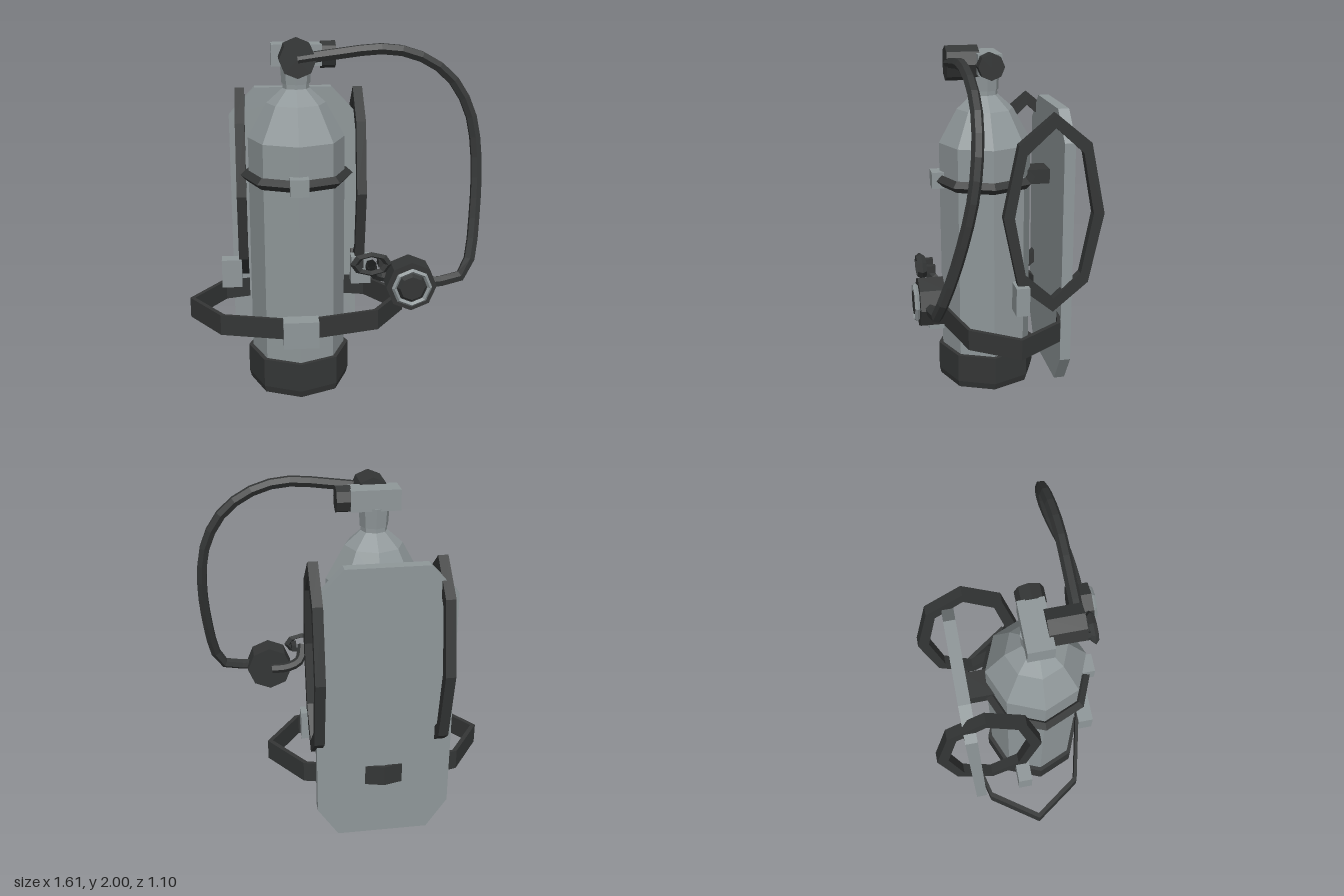
import * as THREE from 'three';

const grey = new THREE.MeshStandardMaterial({ color: 0x8f9799, flatShading: true });
const dark = new THREE.MeshStandardMaterial({ color: 0x343636, flatShading: true });
const hoseDark = new THREE.MeshStandardMaterial({ color: 0x343636, flatShading: true, side: THREE.DoubleSide });
const TX = -0.177, TZ = 0.05; // tank axis

export function createModel() {
  const model = new THREE.Group();

  const add = (name, geo, mat, x = 0, y = 0, z = 0) => {
    const m = new THREE.Mesh(geo, mat);
    m.name = name;
    m.position.set(x, y, z);
    model.add(m);
  };
  const box = (name, mat, w, h, d, x, y, z) => add(name, new THREE.BoxGeometry(w, h, d), mat, x, y, z);
  const cyl = (rTop, rBottom, h) => new THREE.CylinderGeometry(rTop, rBottom, h, 8);
  const vec2 = (pts) => pts.map((p) => new THREE.Vector2(...p));
  const tube = (name, pts, r, segments) => {
    const path = new THREE.CatmullRomCurve3(pts.map((p) => new THREE.Vector3(...p)));
    add(name, new THREE.TubeGeometry(path, segments, r, 6), hoseDark);
  };
  // octagonal loop of rectangular section, centred on the extrusion axis
  const octPoints = (a, b) => Array.from({ length: 8 }, (_, i) =>
    new THREE.Vector2(a * Math.cos(i * Math.PI / 4), b * Math.sin(i * Math.PI / 4)));
  const octLoop = (a, b, innerA, innerB, depth) => {
    const s = new THREE.Shape(octPoints(a, b));
    s.holes.push(new THREE.Path(octPoints(innerA, innerB)));
    return new THREE.ExtrudeGeometry(s, { depth, bevelEnabled: false }).translate(0, 0, -depth / 2);
  };

  // Tank with shoulder and neck
  const profile = vec2([[0, 0.05], [0.267, 0.05], [0.267, 1.455], [0.162, 1.645], [0.073, 1.725], [0.07, 1.8]]);
  add('tank', new THREE.LatheGeometry(profile, 8), grey, TX, 0, TZ);
  const bootProfile = vec2([[0, 0], [0.282, 0], [0.292, 0.04], [0.292, 0.208], [0.26, 0.208]]);
  add('tankBoot', new THREE.LatheGeometry(bootProfile, 8), dark, TX, 0, TZ);

  // Valve and first stage regulator
  add('valveCollar', cyl(0.085, 0.078, 0.11), grey, TX, 1.805, TZ);
  box('valveBody', grey, 0.27, 0.115, 0.135, -0.175, 1.905, 0.043);
  add('valveKnob', cyl(0.073, 0.073, 0.08).rotateZ(Math.PI / 2), dark, -0.005, 1.903, TZ);
  add('firstStage', cyl(0.097, 0.097, 0.182).rotateX(Math.PI / 2), dark, TX, 1.903, 0.183);

  // Tank band, its clasp and the mount to the backplate
  add('tankBand', new THREE.TorusGeometry(0.28, 0.033, 4, 8).rotateX(Math.PI / 2), dark, TX, 1.243, TZ);
  box('bandClasp', grey, 0.1, 0.095, 0.07, TX, 1.245, 0.333);
  box('tankMount', dark, 0.15, 0.085, 0.16, TX, 1.243, -0.25);

  // Backplate with cut corners
  const plate = new THREE.Shape(vec2([
    [-0.26, 0.028], [0.26, 0.028], [0.378, 0.205], [0.378, 1.505],
    [0.225, 1.667], [-0.225, 1.667], [-0.378, 1.505], [-0.378, 0.205],
  ]));
  add('backplate', new THREE.ExtrudeGeometry(plate, { depth: 0.063, bevelEnabled: false }), grey, TX, 0, -0.382);

  // Shoulder straps with adjusters
  for (const [name, strapX, clipX] of [['right', -0.488, -0.558], ['left', 0.195, 0.202]]) {
    add(name + 'ShoulderStrap', octLoop(0.287, 0.573, 0.225, 0.495, 0.055).rotateY(Math.PI / 2),
      dark, strapX, 1.103, -0.265);
    box(name + 'StrapAdjuster', grey, 0.116, 0.168, 0.078, clipX, 0.617, -0.083);
  }

  // Waist belt and buckle
  add('waistBelt', octLoop(0.63, 0.375, 0.6, 0.355, 0.12).rotateX(Math.PI / 2), dark, TX, 0.42, -0.033);
  box('beltBuckle', grey, 0.195, 0.155, 0.09, TX, 0.42, 0.365);

  // Hose from the first to the second stage
  tube('hose', [
    [-0.177, 1.903, 0.253], [0, 1.927, 0.253], [0.29, 1.953, 0.252], [0.47, 1.91, 0.245],
    [0.63, 1.8, 0.242], [0.735, 1.62, 0.255], [0.773, 1.38, 0.288], [0.757, 1.05, 0.37],
    [0.725, 0.85, 0.435], [0.69, 0.775, 0.455], [0.58, 0.745, 0.467], [0.46, 0.735, 0.47],
  ], 0.031, 20);

  // Second stage with purge cover
  const SX = 0.402, SY = 0.737;
  add('secondStage', cyl(0.135, 0.135, 0.132).rotateX(Math.PI / 2), dark, SX, SY, 0.455);
  add('purgeRing', new THREE.TorusGeometry(0.095, 0.013, 4, 8), grey, SX, SY, 0.535);
  add('purgeCover', cyl(0.065, 0.085, 0.03).rotateX(Math.PI / 2), dark, SX, SY, 0.533);

  // Mouthpiece: elbow, oval flange and bite tabs
  tube('mouthpieceElbow', [
    [0.39, 0.74, 0.385], [0.29, 0.745, 0.385], [0.215, 0.775, 0.405], [0.19, 0.85, 0.465],
  ], 0.03, 8);
  add('mouthpieceFlange', new THREE.TorusGeometry(0.088, 0.024, 4, 8).scale(1, 0.6, 1), dark, 0.19, 0.857, 0.48);
  for (const side of [-1, 1]) {
    box('biteTab', dark, 0.03, 0.04, 0.075, 0.19 + side * 0.055, 0.857, 0.445);
  }

  return model;
}
